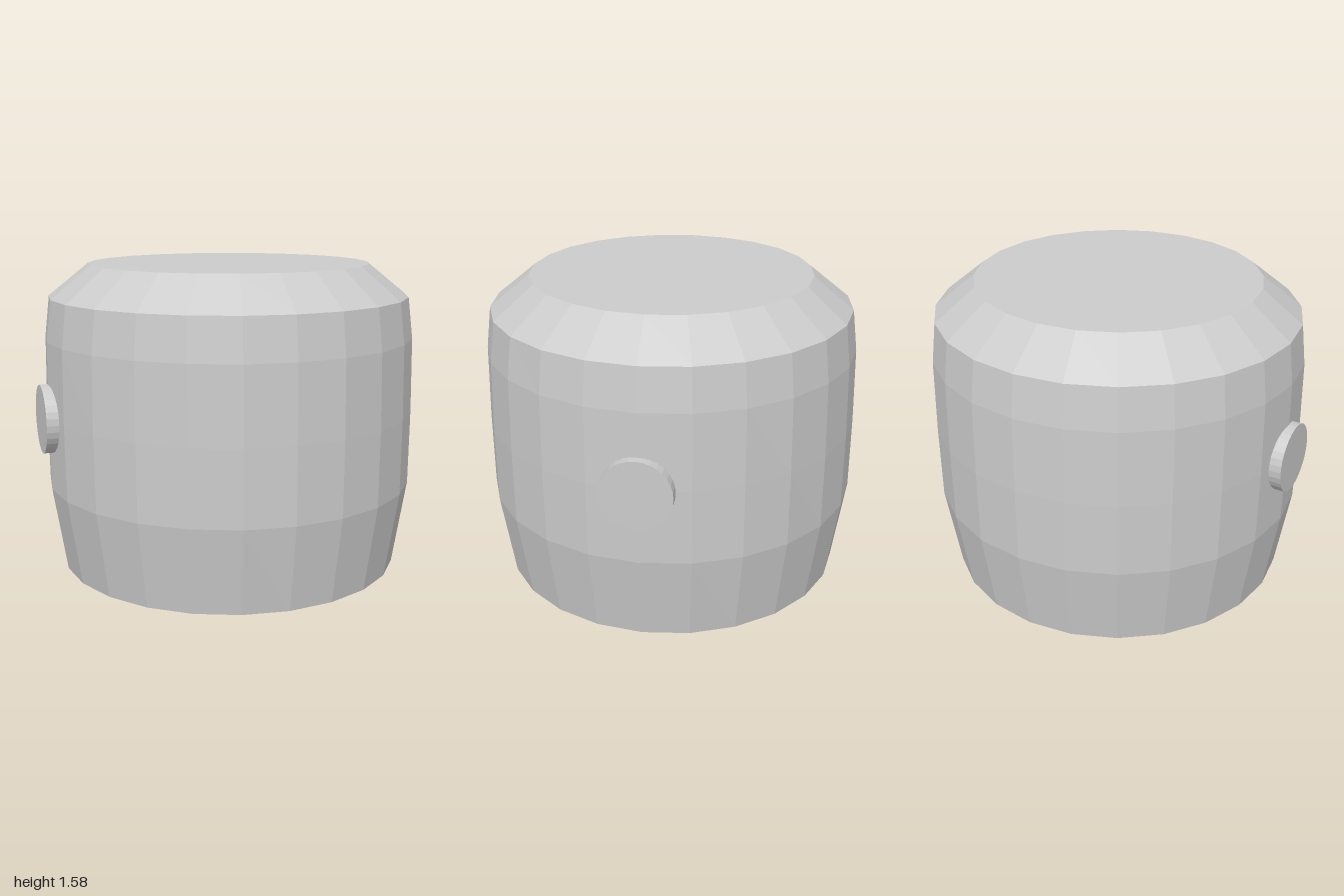
import * as THREE from 'three';

const material = new THREE.MeshStandardMaterial({ color: 0xcccccc, flatShading: true });

// Faceted barrel: recessed underside, bulging wall, sloped shoulder, flat top
function makeBody() {
  const height = 1.575;
  const profile = [
    [0, 0.08], [0.84, 0.08], [0.84, 0], [0.888, 0], [0.958, 0.44],
    [0.962, 0.82], [0.957, 1.2], [0.932, 1.41], [0.727, height], [0, height],
  ].map(([r, y]) => new THREE.Vector2(r, y));
  const geometry = new THREE.LatheGeometry(profile, 24);

  // The depth narrows very slightly towards the top
  const p = geometry.attributes.position;
  for (let i = 0; i < p.count; i++) {
    p.setZ(i, p.getZ(i) * (1 - 0.015 * p.getY(i) / height));
  }
  geometry.computeVertexNormals();
  const body = new THREE.Mesh(geometry, material);
  body.name = 'barrelBody';
  return body;
}

// Short round stud on one side of the wall
function makeStud(side) {
  const inner = 0.9, outer = 1;
  const stud = new THREE.Mesh(
    new THREE.CylinderGeometry(0.174, 0.174, outer - inner, 32), material);
  stud.rotation.z = Math.PI / 2;
  stud.position.set(side * (inner + outer) / 2, 0.812, 0);
  stud.name = side > 0 ? 'leftStud' : 'rightStud';
  return stud;
}

export function createModel() {
  const model = new THREE.Group();
  model.name = 'barrelHead';
  model.add(makeBody(), makeStud(1), makeStud(-1));
  return model;
}
